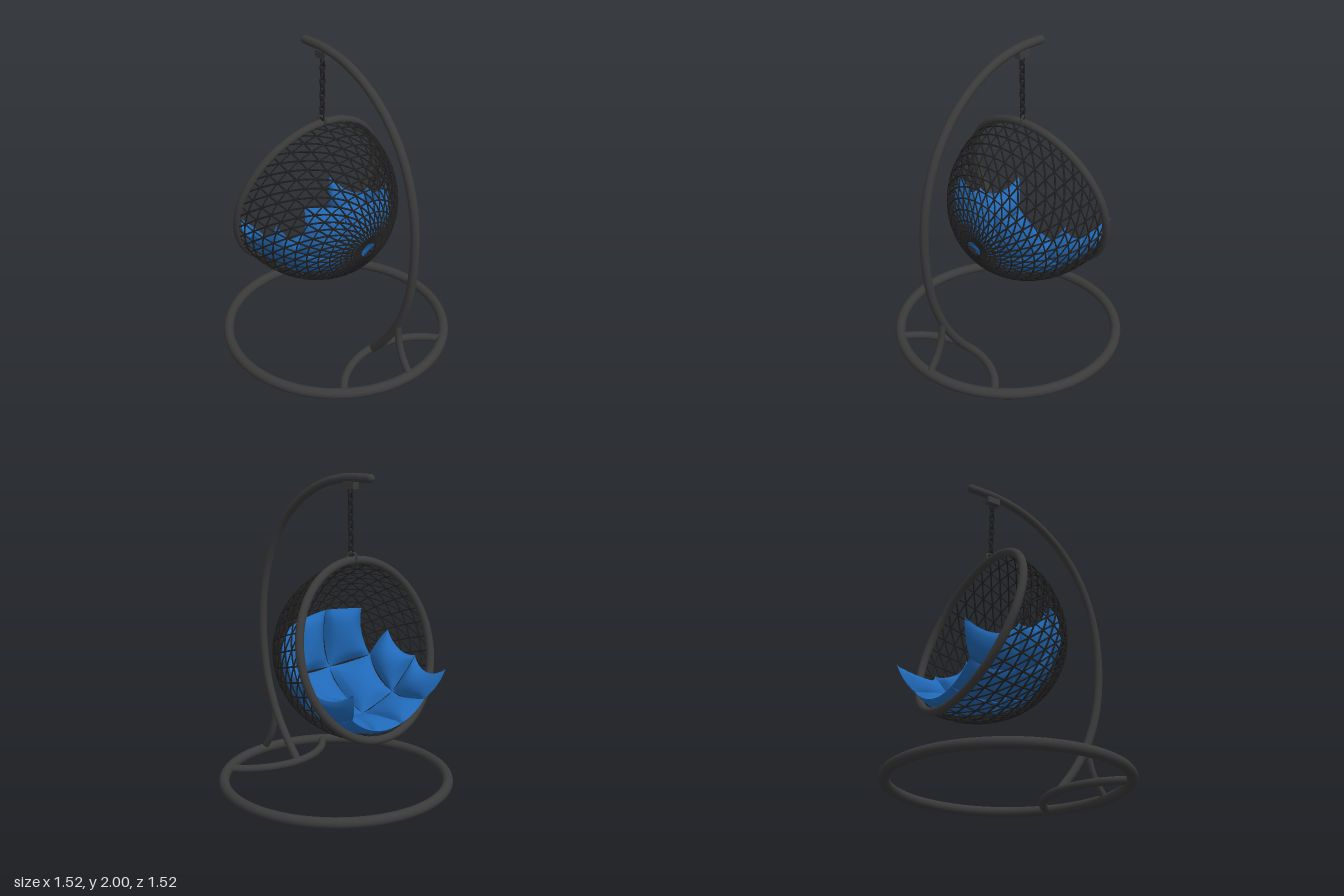
import * as THREE from 'three';
import { mergeGeometries } from 'three/addons/utils/BufferGeometryUtils.js';

const V = (x, y, z = 0) => new THREE.Vector3(x, y, z);
const RAD = Math.PI / 180;

// Basket frame: centre of the tilted opening, bowl axis, in-plane up
const CENTRE = V(-0.29, 0.94);
const AXIS = V(0.963, -0.268).normalize();
const UP = V(0.268, 0.963).normalize();
const DEPTH = 0.63, RADIUS = 0.553;

export function createModel() {
  const model = new THREE.Group();
  const frameMat = new THREE.MeshStandardMaterial({ color: 0x3a3a3a });
  frameMat.name = 'charcoal frame';
  const wickerMat = new THREE.MeshStandardMaterial({ color: 0x202020 });
  wickerMat.name = 'black wicker';
  const cushionMat = new THREE.MeshStandardMaterial({ color: 0x2069b8, side: THREE.DoubleSide });
  cushionMat.name = 'blue fabric';

  const add = (name, geometry, material, parent = model) => {
    const mesh = new THREE.Mesh(geometry, material);
    mesh.name = name;
    parent.add(mesh);
    return mesh;
  };
  const tube = (points, radius, segments, sides = 14, closed = false) =>
    new THREE.TubeGeometry(new THREE.CatmullRomCurve3(points, closed), segments, radius, sides, closed);

  // Stand
  const baseRing = add('baseRing', new THREE.TorusGeometry(0.727, 0.034, 16, 80), frameMat);
  baseRing.rotation.x = Math.PI / 2;
  baseRing.position.y = 0.034;

  const arcPoints = [];
  for (let i = -4; i <= 4; i++) {
    const a = i * 0.231;
    arcPoints.push(V(0.89 - 0.52 * Math.cos(a), 0.036, 0.52 * Math.sin(a)));
  }
  add('baseArc', tube(arcPoints, 0.026, 40), frameMat);

  const postPoints = [
    V(-0.29, 1.973), V(-0.1, 1.97), V(0.1, 1.93), V(0.29, 1.84), V(0.46, 1.7), V(0.6, 1.5),
    V(0.69, 1.25), V(0.722, 0.95), V(0.69, 0.62), V(0.605, 0.37), V(0.5, 0.19), V(0.38, 0.04),
  ];
  add('post', tube(postPoints, 0.027, 90, 16), frameMat);
  add('postTip', new THREE.SphereGeometry(0.027, 16, 12), frameMat).position.copy(postPoints[0]);
  add('postBrace', tube([V(0.605, 0.38), V(0.615, 0.27), V(0.655, 0.15), V(0.73, 0.04)], 0.023, 24), frameMat);

  // Hanger and chain
  add('hangerBracket', new THREE.BoxGeometry(0.09, 0.045, 0.045), frameMat).position.set(-0.125, 1.928, 0);
  const chain = new THREE.Group();
  chain.name = 'chain';
  model.add(chain);
  for (let i = 0; i < 9; i++) {
    const link = add('chainLink', new THREE.TorusGeometry(0.016, 0.0055, 8, 18), wickerMat, chain);
    link.scale.y = 1.9;
    link.rotation.y = i % 2 ? Math.PI / 2 : 0;
    link.position.set(-0.125 - 0.001 * i, 1.89 - i * 0.0455, 0);
  }
  const clip = add('rimClip', new THREE.TorusGeometry(0.032, 0.008, 8, 20), frameMat);
  clip.rotation.y = Math.PI / 10;
  clip.position.set(-0.14, 1.49, 0);

  // Basket rim
  const rim = add('basketRim', new THREE.TorusGeometry(RADIUS, 0.026, 14, 80), frameMat);
  rim.quaternion.setFromUnitVectors(V(0, 0, 1), AXIS);
  rim.position.copy(CENTRE);

  // Woven basket: meridians, diagonal spirals and rings on a half ellipsoid
  const bowl = (theta, phi) => CENTRE.clone()
    .addScaledVector(AXIS, DEPTH * Math.cos(theta))
    .addScaledVector(UP, RADIUS * Math.sin(theta) * Math.cos(phi))
    .add(V(0, 0, RADIUS * Math.sin(theta) * Math.sin(phi)));
  const RIBS = 36, ROWS = 12, FIRST = 6 * RAD;
  const rowAngle = (t) => FIRST + (Math.PI / 2 - FIRST) * t;
  const strands = [];
  for (let i = 0; i < RIBS; i++) {
    const phi = (i / RIBS) * Math.PI * 2;
    for (const twist of [0, (ROWS / RIBS) * Math.PI * 2]) {
      const points = [];
      for (let j = 0; j <= 24; j++) points.push(bowl(rowAngle(j / 24), phi + (twist * j) / 24));
      strands.push(tube(points, 0.0055, 28, 4));
    }
  }
  for (let j = 0; j < ROWS; j++) {
    const points = [];
    for (let i = 0; i < RIBS; i++) points.push(bowl(rowAngle(j / ROWS), (i / RIBS) * Math.PI * 2));
    strands.push(tube(points, 0.0055, 72, 4, true));
  }
  add('wovenBasket', mergeGeometries(strands), wickerMat);

  // Cushion point: longitude in the xy plane, latitude towards z, lift inwards
  const inside = (lon, lat, lift) => {
    const dir = V(
      Math.cos(lat * RAD) * Math.cos(lon * RAD),
      Math.cos(lat * RAD) * Math.sin(lon * RAD),
      Math.sin(lat * RAD));
    const a = dir.dot(AXIS) / DEPTH, b = dir.dot(UP) / RADIUS, c = dir.z / RADIUS;
    const reach = 0.93 / Math.sqrt(a * a + b * b + c * c);
    return CENTRE.clone().addScaledVector(dir, reach - lift);
  };

  // One puffed panel between four [lon, lat] corners, pinched along its edges
  const panel = (p00, p10, p01, p11) => {
    const sides = [0.085, -0.022].map((puff) => {
      const geometry = new THREE.PlaneGeometry(2, 2, 12, 12);
      const pos = geometry.attributes.position;
      for (let i = 0; i < pos.count; i++) {
        const s = pos.getX(i), t = pos.getY(i);
        const u = (s * (1 - 0.035 * (1 - t * t)) + 1) / 2;
        const v = (t * (1 - 0.035 * (1 - s * s)) + 1) / 2;
        const mix = (k) => (p00[k] * (1 - u) + p10[k] * u) * (1 - v) + (p01[k] * (1 - u) + p11[k] * u) * v;
        const bulge = Math.pow(Math.max(0, (1 - s * s) * (1 - t * t)), 0.55);
        const p = inside(mix(0), mix(1), 0.015 + puff * bulge);
        pos.setXYZ(i, p.x, p.y, p.z);
      }
      geometry.computeVertexNormals();
      return geometry;
    });
    return mergeGeometries(sides);
  };
  const quilt = (name, rows) => {
    const parts = [];
    for (let r = 0; r + 1 < rows.length; r++)
      for (let c = 0; c + 1 < rows[r].length; c++)
        parts.push(panel(rows[r][c], rows[r][c + 1], rows[r + 1][c], rows[r + 1][c + 1]));
    add(name, mergeGeometries(parts), cushionMat);
  };

  // Seat and backrest, front edge to top edge
  quilt('seatAndBackCushion', [
    [[-118, -40], [-112, -14], [-112, 14], [-118, 40]],
    [[-72, -42], [-70, -14], [-70, 14], [-72, 42]],
    [[-25, -44], [-25, -14], [-25, 14], [-25, 44]],
    [[9, -36], [11, -13], [17, 13], [22, 38]],
  ]);
  // Side wings, inner edge to outer edge
  for (const [name, m] of [['sideCushionFront', 1], ['sideCushionBack', -1]]) {
    quilt(name, [
      [[-118, 40 * m], [-72, 42 * m], [-25, 44 * m]],
      [[-152, 53 * m], [-70, 74 * m], [3, 60 * m]],
    ]);
  }
  return model;
}
